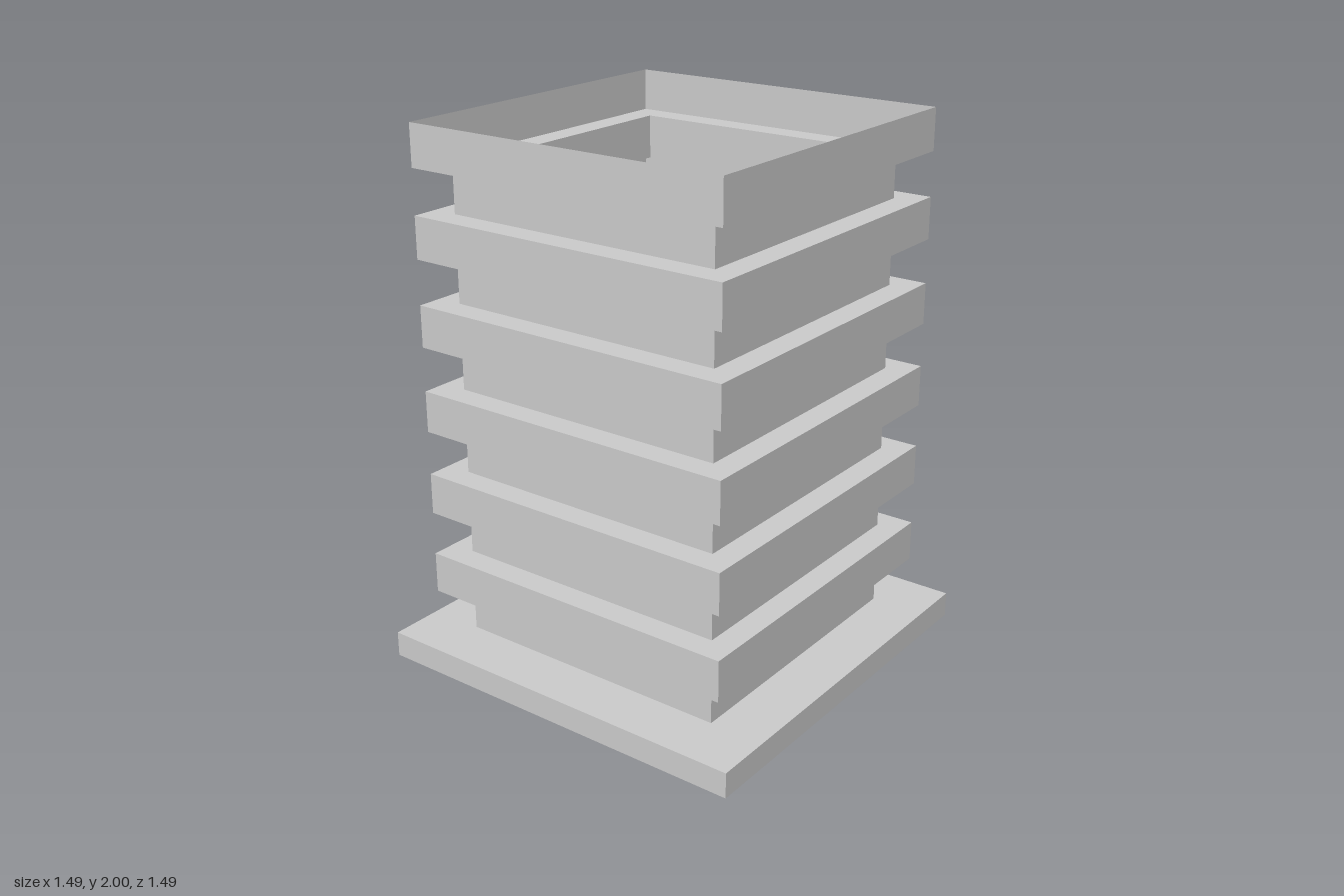
import * as THREE from 'three';

export function createModel() {
  const model = new THREE.Group();
  const material = new THREE.MeshStandardMaterial({
    color: 0xcccccc, flatShading: true, side: THREE.DoubleSide,
  });

  const baseTop = 0.095, baseHalf = 0.746;
  const neckHalf = 0.54, foldHalf = 0.635;
  const folds = 6, pitch = (2 - baseTop) / folds, foldHeight = 0.154;

  // Square base plate
  const base = new THREE.Mesh(
    new THREE.BoxGeometry(2 * baseHalf, baseTop, 2 * baseHalf), material);
  base.name = 'basePlate';
  base.position.y = baseTop / 2;
  model.add(base);

  // Thin open-topped bellows: a stepped profile swept round a square
  const profile = [];
  const add = (half, y) => profile.push(new THREE.Vector2(half * Math.SQRT2, y));
  for (let i = 0; i < folds; i++) {
    const bottom = baseTop + i * pitch, top = bottom + pitch;
    add(neckHalf, bottom);
    add(neckHalf, top - foldHeight);
    add(foldHalf, top - foldHeight);
    add(foldHalf, top);
  }
  const bellows = new THREE.Mesh(
    new THREE.LatheGeometry(profile, 4, Math.PI / 4), material);
  bellows.name = 'bellows';
  model.add(bellows);

  return model;
}
